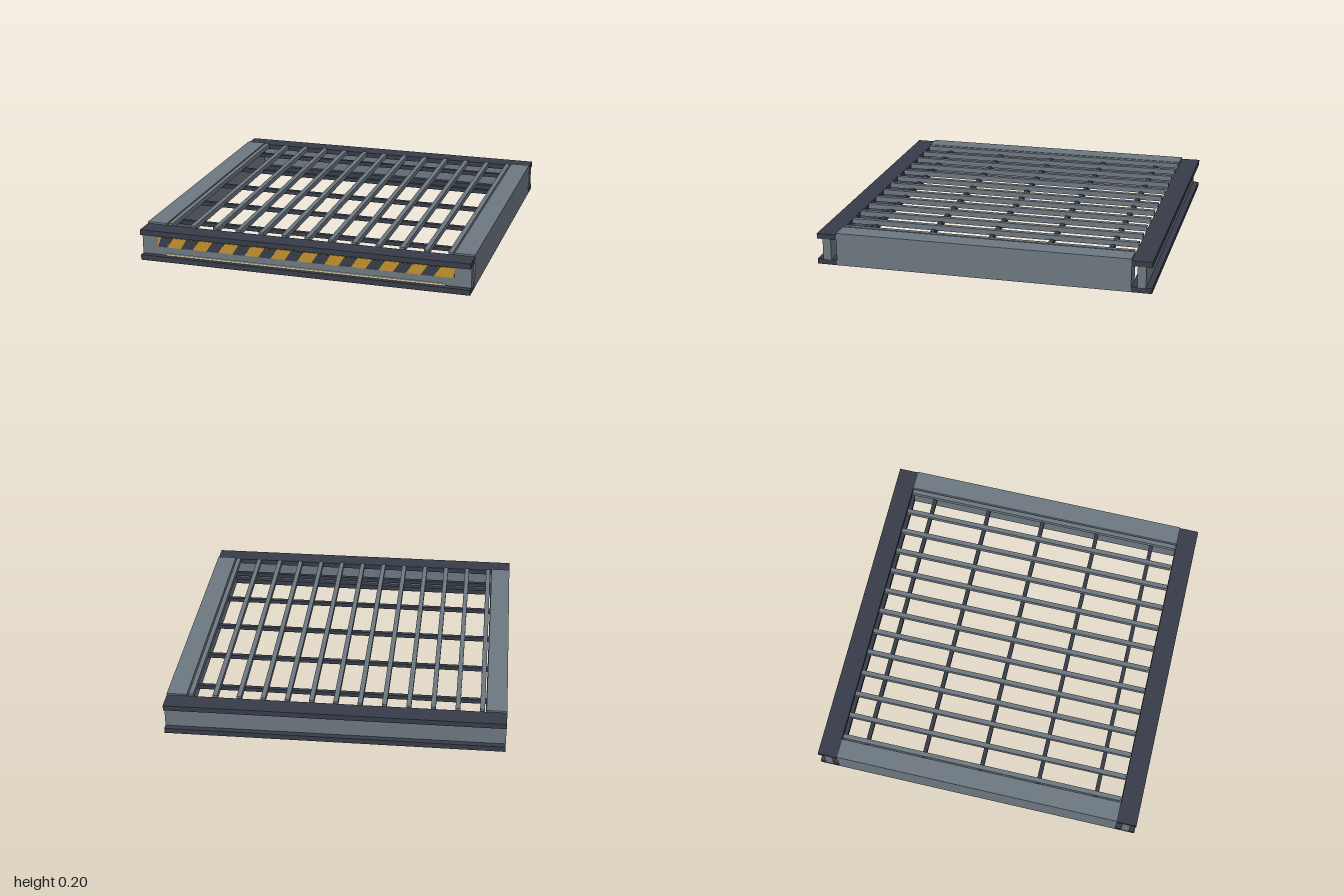
import * as THREE from 'three';

const material = (name, color, extra = {}) => {
  const m = new THREE.MeshStandardMaterial({ color, ...extra });
  m.name = name;
  return m;
};

export function createModel() {
  const steel = material('steel grey', 0x6d7780);
  const dark = material('dark steel', 0x363c48);
  const yellow = material('hazard yellow', 0xc0902e);
  const cream = material('pale strip', 0xd6cca6);
  const model = new THREE.Group();
  model.name = 'floorGrate';

  // Box given by its limits on each axis
  const box = (name, mat, [x0, x1], [y0, y1], [z0, z1], parent = model) => {
    const mesh = new THREE.Mesh(new THREE.BoxGeometry(x1 - x0, y1 - y0, z1 - z0), mat);
    mesh.position.set((x0 + x1) / 2, (y0 + y1) / 2, (z0 + z1) / 2);
    mesh.name = name;
    parent.add(mesh);
    return mesh;
  };

  // Front and back I-beams, and the solid side beams
  for (const s of [1, -1]) {
    const beam = new THREE.Group();
    beam.name = s > 0 ? 'frontBeam' : 'backBeam';
    const span = (a, b) => (s > 0 ? [a, b] : [-b, -a]);
    box('topFlange', dark, [-1, 1], [0.158, 0.19], span(0.88, 1), beam);
    box('web', steel, [-1, 1], [0.032, 0.158], span(0.915, 0.965), beam);
    box('bottomFlange', dark, [-1, 1], [0, 0.032], span(0.88, 1), beam);
    model.add(beam);
    box(s > 0 ? 'leftBeam' : 'rightBeam', steel, span(0.88, 1), [0, 0.2], [-0.88, 0.88]);
  }

  // Grating bars running front to back
  const bars = new THREE.Group();
  bars.name = 'gratingBars';
  for (let i = 0; i < 13; i++) {
    const x = -0.857 + i * 0.1428;
    box('gratingBar', steel, [x - 0.014, x + 0.014], [0.168, 0.2], [-0.875, 0.875], bars);
  }
  model.add(bars);

  // Cross rods beneath the bars
  const rods = new THREE.Group();
  rods.name = 'crossRods';
  for (let i = -2; i <= 2; i++) {
    const z = i * 0.361;
    box('crossRod', dark, [-0.88, 0.88], [0.15, 0.175], [z - 0.0125, z + 0.0125], rods);
  }
  model.add(rods);

  // Hazard plate on the front web, with slanted stripes clipped to its left end
  const [y0, y1] = [0.083, 0.144];
  box('hazardPlate', yellow, [-0.9, 0.9], [y0, y1], [0.964, 0.969]);
  const stripes = new THREE.Group();
  stripes.name = 'hazardStripes';
  const half = 0.038, lean = 0.02;
  const clip = (x) => Math.max(-0.9, Math.min(0.9, x));
  for (let i = 0; i < 11; i++) {
    const x = -0.861 + i * 0.1625;
    const shape = new THREE.Shape([
      new THREE.Vector2(clip(x - half - lean), y0),
      new THREE.Vector2(clip(x + half - lean), y0),
      new THREE.Vector2(clip(x + half + lean), y1),
      new THREE.Vector2(clip(x - half + lean), y1),
    ]);
    const stripe = new THREE.Mesh(new THREE.ExtrudeGeometry(shape, { depth: 0.003, bevelEnabled: false }), dark);
    stripe.position.z = 0.968;
    stripe.name = 'hazardStripe';
    stripes.add(stripe);
  }
  model.add(stripes);

  // Pale strip along the foot of the front web
  box('lightStrip', cream, [-0.85, 0.85], [0.032, 0.043], [0.964, 0.973]);

  return model;
}
